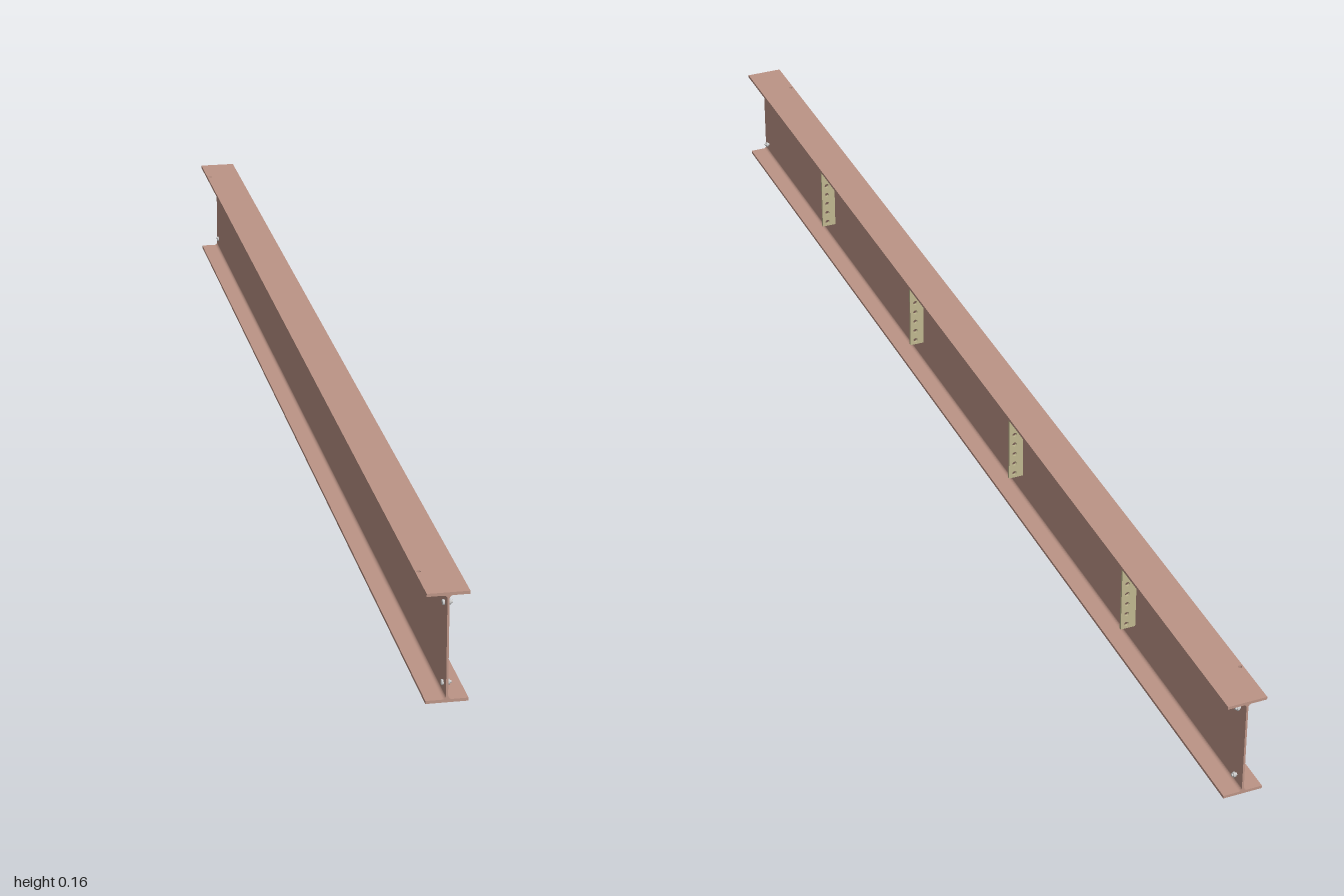
import * as THREE from 'three';

const LENGTH = 2, HEIGHT = 0.163, WIDTH = 0.06;
const FLANGE = 0.0045, WEB = 0.003, FILLET = 0.005;

const steel = new THREE.MeshStandardMaterial({ color: 0xbc9486 });
const plateMaterial = new THREE.MeshStandardMaterial({ color: 0xbfb78f });
const boltMaterial = new THREE.MeshStandardMaterial({ color: 0xcccccc });

function addMesh(parent, name, geometry, material, x = 0, y = 0, z = 0) {
  const mesh = new THREE.Mesh(geometry, material);
  mesh.name = name;
  mesh.position.set(x, y, z);
  parent.add(mesh);
  return mesh;
}

// Rectangle with round holes given as [x, y, radius], extruded along +z
function drilledPlate(x0, y0, x1, y1, depth, holes) {
  const shape = new THREE.Shape();
  shape.moveTo(x0, y0).lineTo(x1, y0).lineTo(x1, y1).lineTo(x0, y1).closePath();
  for (const [x, y, r] of holes) {
    shape.holes.push(new THREE.Path().absarc(x, y, r, 0, Math.PI * 2, true));
  }
  return new THREE.ExtrudeGeometry(shape, { depth, bevelEnabled: false, curveSegments: 10 });
}

// Web profile with rolled fillets where it meets the flanges
function webGeometry() {
  const w = WEB / 2, r = FILLET, y0 = FLANGE, y1 = HEIGHT - FLANGE;
  const s = new THREE.Shape();
  s.moveTo(-w - r, y0).lineTo(w + r, y0);
  s.absarc(w + r, y0 + r, r, -Math.PI / 2, -Math.PI, true);
  s.lineTo(w, y1 - r);
  s.absarc(w + r, y1 - r, r, Math.PI, Math.PI / 2, true);
  s.lineTo(-w - r, y1);
  s.absarc(-w - r, y1 - r, r, Math.PI / 2, 0, true);
  s.lineTo(-w, y0 + r);
  s.absarc(-w - r, y0 + r, r, 0, -Math.PI / 2, true);
  return new THREE.ExtrudeGeometry(s, { depth: LENGTH, bevelEnabled: false, curveSegments: 6 });
}

// Bolt through the web, lying along x
function createBolt() {
  const bolt = new THREE.Group();
  bolt.name = 'bolt';
  const parts = [
    ['boltHead', 0.0042, 0.003, 6, -0.003],
    ['boltNut', 0.0042, 0.0035, 6, 0.0055],
    ['boltShank', 0.0022, 0.0135, 12, 0.0028],
  ];
  for (const [name, radius, length, sides, x] of parts) {
    const geometry = new THREE.CylinderGeometry(radius, radius, length, sides);
    geometry.rotateZ(Math.PI / 2);
    addMesh(bolt, name, geometry, boltMaterial, x);
  }
  return bolt;
}

export function createModel() {
  const model = new THREE.Group();
  model.name = 'steelBeam';

  // I-beam: web and two flanges
  addMesh(model, 'web', webGeometry(), steel, 0, 0, -LENGTH / 2);
  addMesh(model, 'bottomFlange', new THREE.BoxGeometry(WIDTH, FLANGE, LENGTH), steel, 0, FLANGE / 2, 0);
  const top = drilledPlate(-WIDTH / 2, -LENGTH / 2, WIDTH / 2, LENGTH / 2, FLANGE,
    [[-0.025, 0.925, 0.003], [-0.025, -0.925, 0.003]]);
  top.rotateX(-Math.PI / 2);
  addMesh(model, 'topFlange', top, steel, 0, HEIGHT - FLANGE, 0);

  // Drilled shear plates along the left side of the web
  const holes = [];
  for (let i = 0; i < 6; i++) holes.push([0.016, 0.05 + i * 0.0182, 0.0037]);
  const plate = drilledPlate(WEB / 2, 0.042, 0.025, 0.151, 0.004, holes);
  for (let i = 0; i < 4; i++) {
    addMesh(model, 'shearPlate', plate, plateMaterial, 0, 0, 0.63 - i * 0.423 - 0.002);
  }

  // Bolts at both ends of the web
  for (const z of [-0.982, 0.982]) {
    for (const y of [0.022, 0.141]) {
      const bolt = createBolt();
      bolt.position.set(0, y, z);
      model.add(bolt);
    }
  }
  return model;
}
